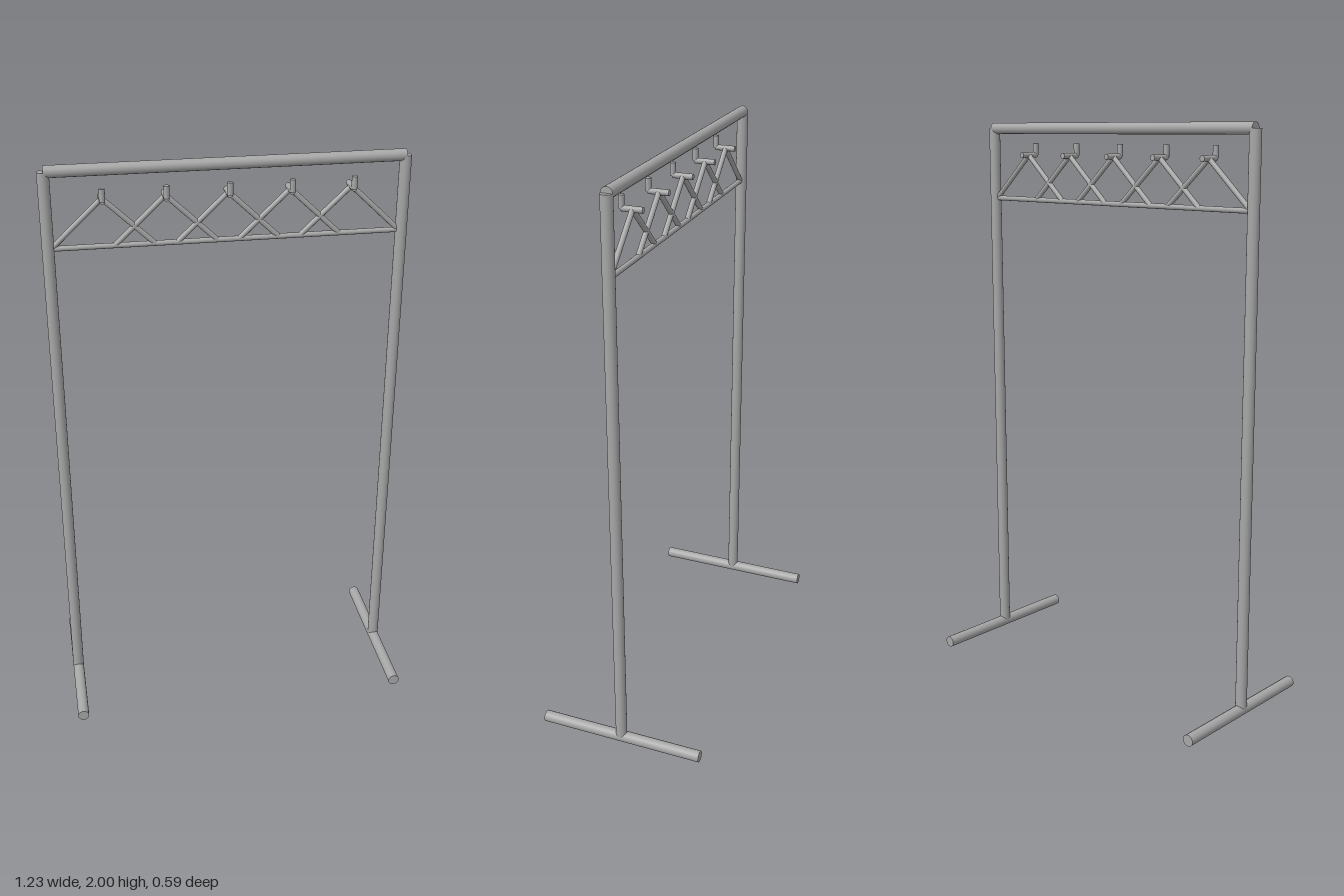
import * as THREE from 'three';

const steel = new THREE.MeshStandardMaterial({ color: 0xa6a6a6 });
steel.name = 'brushed steel grey';

// Capped round tube between two points
function rod(name, from, to, radius, sides = 24) {
  const a = new THREE.Vector3(...from);
  const b = new THREE.Vector3(...to);
  const dir = b.clone().sub(a);
  const mesh = new THREE.Mesh(new THREE.CylinderGeometry(radius, radius, dir.length(), sides), steel);
  mesh.position.copy(a).add(b).multiplyScalar(0.5);
  mesh.quaternion.setFromUnitVectors(new THREE.Vector3(0, 1, 0), dir.normalize());
  mesh.name = name;
  return mesh;
}

// Triangular hanger with a peg along z and an upturned hook tip at the front
function hanger(x) {
  const group = new THREE.Group();
  group.name = 'hanger';
  const apex = 1.885, base = 1.725, half = 0.17, r = 0.009;
  for (const s of [-1, 1]) {
    group.add(rod('hangerArm', [0, apex, 0], [s * half, base, 0], r, 16));
  }
  group.add(
    rod('hangerBar', [-half, base, 0], [half, base, 0], r, 16),
    rod('hookPeg', [0, apex, -0.036], [0, apex, 0.036], 0.01, 16),
    rod('hookTip', [0, apex, 0.036], [0, 1.927, 0.036], 0.01, 16)
  );
  group.position.x = x;
  return group;
}

export function createModel() {
  const model = new THREE.Group();
  model.name = 'clothesRack';
  const X = 0.593, R = 0.02, top = 1.98;

  // Side frames: foot and upright
  for (const s of [-1, 1]) {
    const side = s > 0 ? 'left' : 'right';
    model.add(
      rod(side + 'Foot', [s * X, R, -0.296], [s * X, R, 0.296], R),
      rod(side + 'Post', [s * X, R, 0], [s * X, top, 0], R)
    );
  }

  // Top rail
  model.add(rod('topRail', [-X, top, 0], [X, top, 0], R));

  // Row of overlapping hangers
  for (let i = -2; i <= 2; i++) model.add(hanger(i * 0.2065));

  return model;
}
